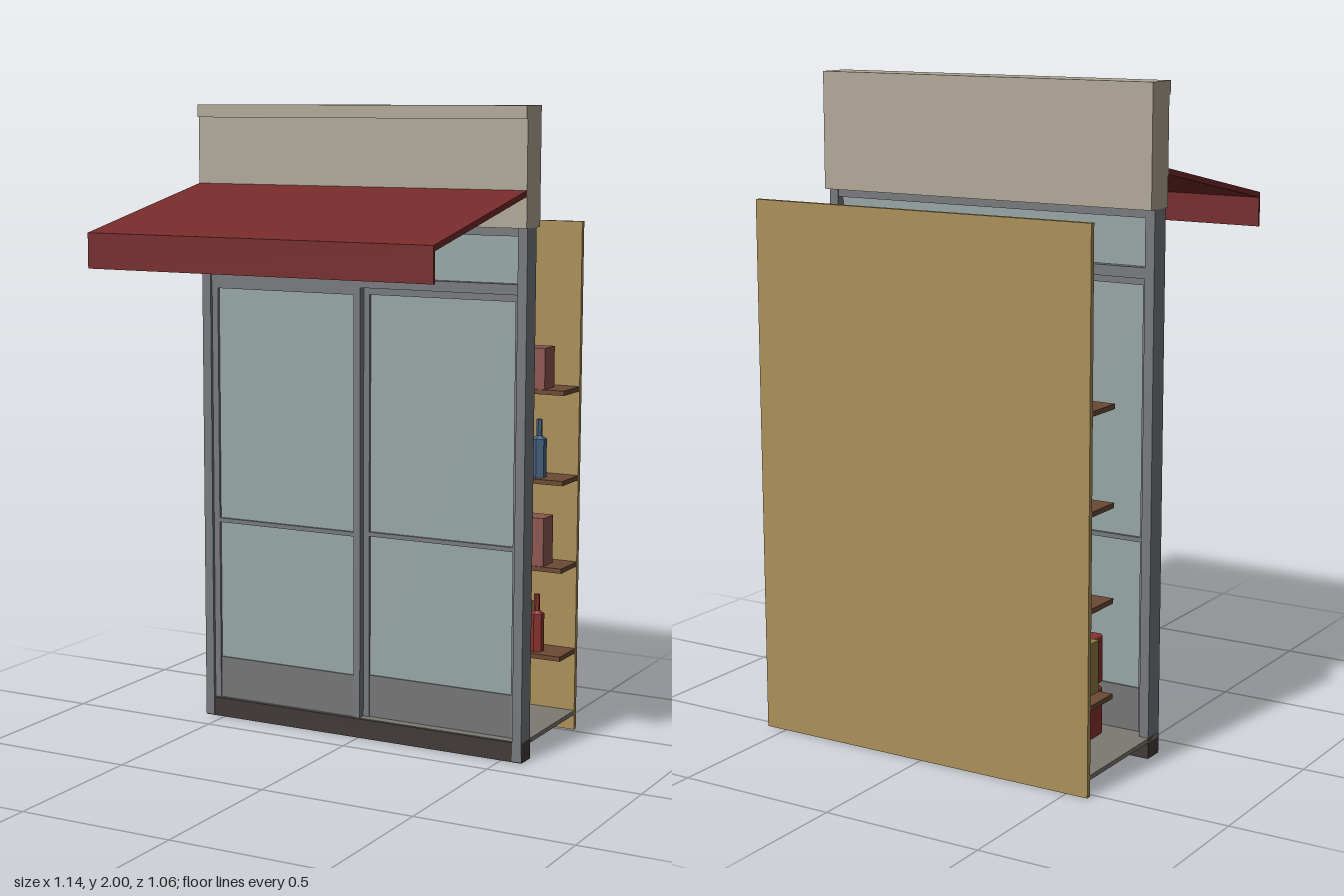
import * as THREE from 'three';
import { RoundedBoxGeometry } from 'three/addons/geometries/RoundedBoxGeometry.js';

const COLORS = {
  wall: 0xb0a898, awning: 0x762a2b, metal: 0x77797c, dark: 0x403a38, glass: 0x97a6a6, kick: 0x757576,
  back: 0xab8f58, shelf: 0x6b4a34, floor: 0x7d7a72, red: 0x8a332f, pink: 0x8c5550, yellow: 0x8f7d40,
  blue: 0x44617f, green: 0x4f7a48, brown: 0x43342a, white: 0xcfcfca, card: 0x8a7a62,
};
const materials = {};
for (const [key, color] of Object.entries(COLORS)) {
  materials[key] = new THREE.MeshStandardMaterial({ color });
}
const flatMaterial = (key) => {
  const name = key + 'Flat';
  materials[name] ??= new THREE.MeshStandardMaterial({ color: COLORS[key], flatShading: true });
  return materials[name];
};

// Box given by its limits on each axis
function box(parent, name, color, [x0, x1], [y0, y1], [z0, z1]) {
  const mesh = new THREE.Mesh(new THREE.BoxGeometry(x1 - x0, y1 - y0, z1 - z0), materials[color]);
  mesh.position.set((x0 + x1) / 2, (y0 + y1) / 2, (z0 + z1) / 2);
  mesh.name = name;
  parent.add(mesh);
  return mesh;
}

function group(parent, name) {
  const g = new THREE.Group();
  g.name = name;
  parent.add(g);
  return g;
}

// Sliding door: stiles, rails, kick panel and glass
function addDoor(parent, name, x0, x1, z) {
  const door = group(parent, name);
  const depth = [z - 0.012, z + 0.012];
  const w = 0.023;
  box(door, 'stile', 'metal', [x0, x0 + w], [0.06, 1.44], depth);
  box(door, 'stile', 'metal', [x1 - w, x1], [0.06, 1.44], depth);
  box(door, 'topRail', 'metal', [x0 + w, x1 - w], [1.417, 1.44], depth);
  box(door, 'middleRail', 'metal', [x0 + w, x1 - w], [0.652, 0.666], depth);
  box(door, 'kickPanel', 'kick', [x0 + w, x1 - w], [0.06, 0.2], [z - 0.008, z + 0.008]);
  box(door, 'doorGlass', 'glass', [x0 + w, x1 - w], [0.2, 1.417], [z - 0.003, z + 0.003]);
}

// Six-sided bottle with shoulder and neck
function addBottle(parent, color, x, y, z, r, h) {
  const profile = [[0, 0], [r, 0], [r, h * 0.66], [r * 0.4, h * 0.72], [r * 0.4, h], [0, h]]
    .map(([a, b]) => new THREE.Vector2(a, b));
  const mesh = new THREE.Mesh(new THREE.LatheGeometry(profile, 6), flatMaterial(color));
  mesh.name = 'bottle';
  mesh.position.set(x, y, z);
  parent.add(mesh);
}

// Goods on one shelf: [kind, color, x, half width, height]
const TOP_GOODS = [
  ['bottle', 'blue', -0.495, 0.025, 0.17], ['bottle', 'brown', -0.436, 0.022, 0.16],
  ['bottle', 'green', -0.38, 0.021, 0.15], ['carton', 'pink', -0.3, 0.04, 0.13],
  ['bottle', 'red', -0.228, 0.021, 0.165], ['bottle', 'brown', -0.17, 0.019, 0.15],
  ['bottle', 'green', -0.117, 0.02, 0.16], ['bottle', 'brown', -0.065, 0.02, 0.15],
  ['bottle', 'blue', -0.006, 0.021, 0.17], ['bottle', 'blue', 0.058, 0.024, 0.175],
  ['bottle', 'white', 0.115, 0.02, 0.15], ['bottle', 'blue', 0.172, 0.019, 0.16],
  ['bottle', 'red', 0.23, 0.021, 0.165], ['carton', 'yellow', 0.305, 0.045, 0.125],
  ['bottle', 'green', 0.387, 0.023, 0.17], ['carton', 'pink', 0.463, 0.04, 0.13],
];
const BOTTLE_COLORS = ['red', 'blue', 'green', 'brown', 'blue', 'white'];
function lowerGoods(level) {
  const goods = [];
  for (let i = 0; i < 16; i++) {
    const x = -0.49 + i * 0.064;
    const carton = i < 15 ? (i * 3 + level) % 7 === 0 : level === 1;
    goods.push(carton
      ? ['carton', i % 2 ? 'pink' : 'yellow', x, 0.036, 0.155]
      : ['bottle', BOTTLE_COLORS[(i * 5 + level) % 6], x, 0.022, 0.16 + 0.01 * ((i + level) % 3)]);
  }
  if (level !== 1) goods[15] = ['bottle', level ? 'blue' : 'red', 0.47, 0.024, 0.185];
  return goods;
}

export function createModel() {
  const model = new THREE.Group();
  model.name = 'shopfront';
  const W = 0.57;

  // Base, posts and head frame
  box(model, 'threshold', 'dark', [-W, W], [0, 0.062], [-0.165, -0.1]);
  for (const s of [-1, 1]) {
    const xs = [s * 0.5385, s * 0.569].sort((a, b) => a - b);
    box(model, 'post', 'metal', xs, [0.004, 1.64], [-0.163, -0.097]);
  }
  box(model, 'transomBar', 'metal', [-0.54, 0.54], [1.44, 1.472], [-0.16, -0.104]);
  box(model, 'transomGlass', 'glass', [-0.54, 0.54], [1.472, 1.62], [-0.135, -0.129]);
  box(model, 'headBar', 'metal', [-0.54, 0.54], [1.615, 1.645], [-0.16, -0.104]);

  // Sliding doors on two tracks
  addDoor(model, 'rightDoor', -0.54, 0.002, -0.119);
  addDoor(model, 'leftDoor', -0.002, 0.54, -0.145);

  // Fascia with top trim
  box(model, 'fascia', 'wall', [-W, W], [1.64, 1.96], [-0.186, -0.087]);
  box(model, 'fasciaTrim', 'wall', [-W, W], [1.96, 2], [-0.186, -0.079]);

  // Sloping awning and hanging valance, extruded across the width
  const section = new THREE.Shape([
    [-0.087, 1.752], [0.53, 1.628], [0.53, 1.522], [0.522, 1.522], [0.522, 1.612], [-0.087, 1.734],
  ].map(([z, y]) => new THREE.Vector2(-z, y)));
  const awning = new THREE.Mesh(
    new THREE.ExtrudeGeometry(section, { depth: 2 * W, bevelEnabled: false }), materials.awning);
  awning.rotation.y = Math.PI / 2;
  awning.position.x = -W;
  awning.name = 'awning';
  model.add(awning);

  // Interior floor and back panel
  box(model, 'floor', 'floor', [-W, W], [0.05, 0.064], [-0.515, -0.105]);
  box(model, 'backPanel', 'back', [-W, W], [0, 1.64], [-0.53, -0.514]);

  // Shelves with goods
  [0.27, 0.555, 0.835, 1.12].forEach((y, level) => {
    const shelf = group(model, 'stockedShelf');
    box(shelf, 'shelf', 'shelf', [-W, W], [y - 0.015, y], [-0.515, -0.388]);
    const goods = level === 3 ? TOP_GOODS : lowerGoods(level);
    for (const [kind, color, x, r, h] of goods) {
      if (kind === 'bottle') addBottle(shelf, color, x, y, -0.432, r, h);
      else box(shelf, 'carton', color, [x - r, x + r], [y, y + h], [-0.468, -0.392]);
    }
  });

  // Two stacked crates and a cardboard box on the floor
  for (const y of [0.143, 0.305]) {
    const crate = new THREE.Mesh(new RoundedBoxGeometry(0.25, 0.152, 0.182, 2, 0.01), materials.red);
    crate.position.set(-0.315, y, -0.298);
    crate.name = 'crate';
    model.add(crate);
  }
  box(model, 'cardboardBox', 'card', [0.185, 0.413], [0.064, 0.25], [-0.387, -0.215]);

  return model;
}
